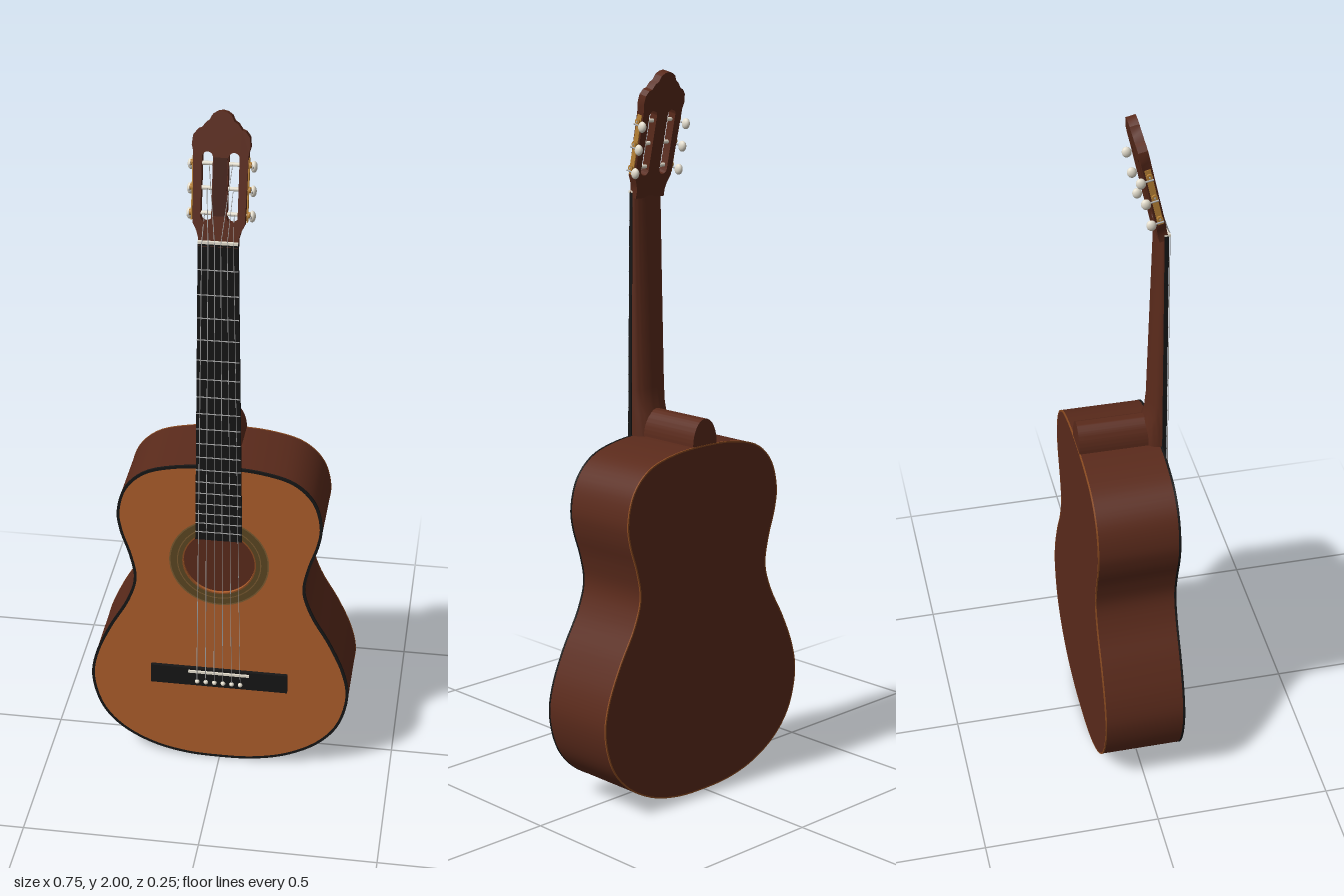
import * as THREE from 'three';
import { toCreasedNormals } from 'three/addons/utils/BufferGeometryUtils.js';

const mat = (color) => new THREE.MeshStandardMaterial({ color, side: THREE.DoubleSide });
const V = (x, y, z) => new THREE.Vector3(x, y, z);

export function createModel() {
  const model = new THREE.Group();
  const wood = mat(0x5a2a1b), top = mat(0xab5c2a), black = mat(0x161616), tan = mat(0x8a4a20);
  const steel = mat(0xaaaaaa), ivory = mat(0xe6e0d0), gold = mat(0xb98235);
  const olive = mat(0x5a4522), sand = mat(0x7a5a30), darkWood = mat(0x421f15);

  const add = (name, geo, material, parent = model) => {
    const m = new THREE.Mesh(geo, material);
    m.name = name;
    parent.add(m);
    return m;
  };
  const box = (name, w, h, d, x, y, z, material, parent) =>
    add(name, new THREE.BoxGeometry(w, h, d).translate(x, y, z), material, parent);
  // Extrudes a shape between two depths, smooth around its curves
  const slab = (shape, z0, z1) => toCreasedNormals(new THREE.ExtrudeGeometry(shape,
    { depth: z1 - z0, bevelEnabled: false, curveSegments: 32 }).translate(0, 0, z0), 0.5);
  // Thin rod between two points
  const rod = (name, a, b, r, material, parent, sides = 6) => {
    const d = b.clone().sub(a);
    const m = add(name, new THREE.CylinderGeometry(r, r, d.length(), sides), material, parent);
    m.position.copy(a).add(b).multiplyScalar(0.5);
    m.quaternion.setFromUnitVectors(V(0, 1, 0), d.normalize());
    return m;
  };

  // Body outline, mirrored about x = 0
  const half = [[0, 0.003], [0.1, 0.008], [0.2, 0.033], [0.29, 0.085], [0.347, 0.155], [0.374, 0.26],
    [0.362, 0.34], [0.32, 0.44], [0.265, 0.54], [0.243, 0.615], [0.255, 0.69], [0.28, 0.77],
    [0.287, 0.83], [0.265, 0.91], [0.21, 0.965], [0.12, 0.992], [0, 1.0]];
  const loop = [...half, ...half.slice(1, -1).reverse().map(([x, y]) => [-x, y])];
  const curve = new THREE.CatmullRomCurve3(loop.map(([x, y]) => V(x, y, 0)), true);
  const outline = (inset) => Array.from({ length: 140 }, (_, i) => {
    const p = curve.getPoint(i / 140), t = curve.getTangent(i / 140);
    return new THREE.Vector2(p.x - t.y * inset, p.y + t.x * inset);
  });
  const rim = (inner, outer = 0) => {
    const s = new THREE.Shape(outline(outer));
    s.holes.push(new THREE.Path(outline(inner)));
    return s;
  };
  add('bodySides', slab(rim(0.008, 0.0006), -0.121, 0.1), wood);
  add('frontBinding', slab(rim(0.008), 0.1, 0.106), black);
  add('backBinding', slab(rim(0.004), -0.125, -0.121), tan);
  add('backPlate', slab(new THREE.Shape(outline(0.004)), -0.125, -0.119), wood);

  // Soundboard with sound hole and rosette
  const holeY = 0.688;
  const board = new THREE.Shape(outline(0.008));
  board.holes.push(new THREE.Path().absarc(0, holeY, 0.1, 0, Math.PI * 2, true));
  add('soundboard', slab(board, 0.098, 0.1055), top);
  for (const [r0, r1, m] of [[0.1, 0.104, tan], [0.104, 0.116, olive], [0.116, 0.119, sand],
    [0.119, 0.137, olive], [0.137, 0.141, sand]])
    add('rosetteRing', new THREE.RingGeometry(r0, r1, 64).translate(0, holeY, 0.1064), m);

  // Rounded heel behind the neck
  const heel = new THREE.Shape();
  heel.moveTo(0.045, 0.985);
  heel.absellipse(0, 1.0, 0.045, 0.073, 0, Math.PI, false);
  heel.lineTo(-0.045, 0.985);
  add('heel', slab(heel, -0.124, 0.09), wood);

  // Neck lofted from rounded cross-sections: y, half width, back depth
  const sections = [[0.985, 0.059, 0.05], [1.06, 0.0585, 0.06], [1.085, 0.058, 0.069], [1.13, 0.0575, 0.074],
    [1.64, 0.0525, 0.09], [1.672, 0.052, 0.09], [1.673, 0.045, 0.104]];
  const n = 20, pos = [], idx = [];
  sections.forEach(([y, w, zb], i) => {
    for (let j = 0; j <= n; j++) {
      const a = (j / n) * Math.PI;
      pos.push(w * Math.cos(a), y, 0.108 - (0.108 - zb) * Math.pow(Math.sin(a), 0.8));
      if (i < sections.length - 1 && j < n) {
        const k = i * (n + 1) + j, u = k + n + 1;
        idx.push(k, k + 1, u, k + 1, u + 1, u);
      }
    }
  });
  const neck = new THREE.BufferGeometry();
  neck.setAttribute('position', new THREE.Float32BufferAttribute(pos, 3));
  neck.setIndex(idx);
  add('neck', toCreasedNormals(neck, 0.6), wood);

  // Tapered fretboard, frets by equal temperament, nut
  const nutY = 1.67, endY = 0.768, scale = 1.355;
  const halfW = (y) => 0.0525 + (nutY - y) / (nutY - endY) * 0.0125;
  const fb = new THREE.Shape([[-0.065, endY], [0.065, endY], [0.0525, nutY], [-0.0525, nutY]]
    .map(([x, y]) => new THREE.Vector2(x, y)));
  add('fretboard', slab(fb, 0.1045, 0.116), black);
  for (let i = 1; i <= 18; i++) {
    const y = nutY - scale * (1 - Math.pow(2, -i / 12));
    box('fret', halfW(y) * 2, 0.0025, 0.002, 0, y, 0.1165, steel);
  }
  box('nut', 0.104, 0.007, 0.016, 0, nutY + 0.002, 0.1125, ivory);

  // Bridge, saddle and pins
  box('bridge', 0.396, 0.06, 0.011, 0, 0.295, 0.1105, black);
  box('saddle', 0.176, 0.007, 0.008, 0, 0.315, 0.117, ivory);

  // Slotted headstock, tilted back
  const head = new THREE.Group();
  head.name = 'headstock';
  head.position.set(0, nutY, 0.114);
  head.rotation.x = -0.22;
  model.add(head);
  const side = [[0.052, -0.01], [0.052, 0.012], [0.057, 0.03], [0.067, 0.05], [0.071, 0.235], [0.075, 0.25],
    [0.072, 0.275], [0.062, 0.288], [0.052, 0.292], [0.042, 0.306], [0.032, 0.313], [0.025, 0.327],
    [0.013, 0.335], [0, 0.338]];
  const plate = new THREE.Shape([...side, ...side.slice(0, -1).reverse().map(([x, v]) => [-x, v])]
    .map(([x, v]) => new THREE.Vector2(x, v)));
  for (const s of [-1, 1]) {
    const slot = new THREE.Path();
    slot.absarc(s * 0.034, 0.22, 0.014, 0, Math.PI, false);
    slot.absarc(s * 0.034, 0.068, 0.014, Math.PI, Math.PI * 2, false);
    plate.holes.push(slot);
  }
  add('headPlate', slab(plate, -0.0255, 0), wood, head);
  box('headVeneer', 0.036, 0.15, 0.001, 0, 0.145, 0.0003, darkWood, head);

  // Tuning machines: roller, gear, shaft and knob on each side
  const rows = [0.075, 0.14, 0.203];
  for (const s of [-1, 1]) {
    box('tunerPlate', 0.003, 0.165, 0.016, s * 0.0715, 0.139, -0.013, gold, head);
    for (const v of rows) {
      rod('roller', V(s * 0.018, v, -0.012), V(s * 0.052, v, -0.012), 0.0055, ivory, head, 12);
      rod('axle', V(s * 0.05, v, -0.012), V(s * 0.08, v, -0.012), 0.0025, steel, head, 8);
      rod('gear', V(s * 0.073, v, -0.012), V(s * 0.078, v, -0.012), 0.008, gold, head, 12);
      rod('tunerShaft', V(s * 0.08, v - 0.008, -0.004), V(s * 0.08, v - 0.008, -0.03), 0.0025, steel, head, 8);
      add('tunerKnob', new THREE.SphereGeometry(1, 16, 10).scale(0.009, 0.015, 0.013)
        .translate(s * 0.081, v - 0.008, -0.038), ivory, head);
    }
  }
  head.updateMatrixWorld(true);

  // Strings from pin over saddle and nut to roller
  for (let i = 0; i < 6; i++) {
    const k = i - 2.5, s = Math.sign(k), r = 0.0013 - i * 0.0001;
    const pin = V(k * 0.025, 0.28, 0.117), saddle = V(k * 0.025, 0.315, 0.1215), nut = V(k * 0.0165, nutY + 0.002, 0.121);
    const row = k < 0 ? rows[i] : rows[5 - i];
    const end = head.localToWorld(V(s * (0.028 + 0.004 * Math.abs(k)), row, -0.006));
    const pts = [pin, saddle, nut, end];
    for (let j = 0; j < 3; j++) rod('string', pts[j], pts[j + 1], r, steel, model);
    add('bridgePin', new THREE.SphereGeometry(0.007, 12, 8).translate(pin.x, pin.y, 0.116), ivory);
  }
  return model;
}
